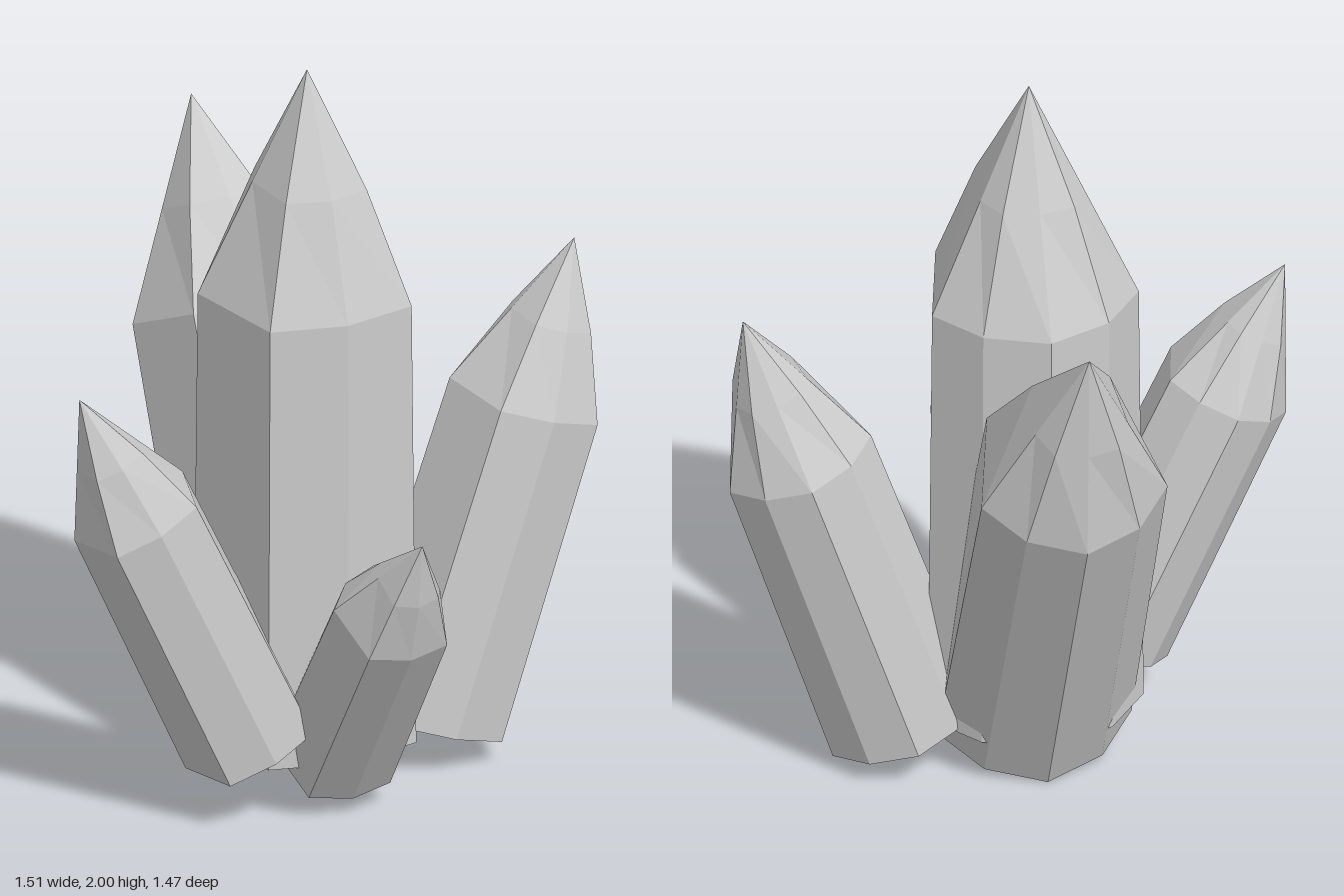
import * as THREE from 'three';

// Half of the crystal's cross-section, back to front: [x, z, fullness halfway up the tip]
const half = [
  [0, -0.275, 0.5],
  [0.166, -0.21, 0.57],
  [0.273, -0.08, 0.5],
  [0.2, 0.215, 0.57],
  [0, 0.26, 0.6],
];
const section = [...half, ...half.slice(1, 4).reverse().map(([x, z, f]) => [-x, z, f])];

const BODY = 1.24, TIP = 0.62, FLARE = 1.045;

// Pointed eight-sided crystal standing on its origin
function crystalGeometry() {
  const rings = [
    section.map(([x, z]) => [x * FLARE, 0, z * FLARE]),
    section.map(([x, z]) => [x, BODY, z]),
    section.map(([x, z, f]) => [x * f, BODY + TIP / 2, z * f]),
  ];
  const base = [0, 0, 0], apex = [0, BODY + TIP, 0];
  const out = [];
  const tri = (a, b, c) => out.push(...a, ...b, ...c);
  const n = section.length;
  for (let i = 0; i < n; i++) {
    const j = (i + 1) % n;
    tri(base, rings[0][i], rings[0][j]);
    for (let r = 0; r < 2; r++) {
      const lo = rings[r], hi = rings[r + 1];
      tri(lo[i], hi[i], hi[j]);
      tri(lo[i], hi[j], lo[j]);
    }
    tri(rings[2][i], apex, rings[2][j]);
  }
  const g = new THREE.BufferGeometry();
  g.setAttribute('position', new THREE.Float32BufferAttribute(out, 3));
  g.computeVertexNormals();
  return g;
}

export function createModel() {
  const group = new THREE.Group();
  group.name = 'crystalCluster';
  const geometry = crystalGeometry();
  const material = new THREE.MeshStandardMaterial({ color: 0xcccccc, flatShading: true });

  // name, foot position, tilt about x and z in degrees, width and height scale
  const crystals = [
    ['mainCrystal', [-0.045, 0.14, 0], 0, 0, 1, 1],
    ['backCrystal', [-0.045, 0.115, 0], -26, 0, 0.9, 0.9],
    ['frontCrystal', [-0.045, 0.133, 0.168], 34.5, 0, 0.55, 0.535],
    ['leftCrystal', [0.291, 0.111, 0], 0, -18.3, 0.72, 0.718],
    ['rightCrystal', [-0.272, 0.199, 0.148], 0, 24.5, 0.615, 0.625],
  ];
  for (const [name, foot, tiltX, tiltZ, width, height] of crystals) {
    const mesh = new THREE.Mesh(geometry, material);
    mesh.name = name;
    mesh.position.set(...foot);
    mesh.rotation.set(THREE.MathUtils.degToRad(tiltX), 0, THREE.MathUtils.degToRad(tiltZ));
    mesh.scale.set(width, height, width);
    group.add(mesh);
  }
  return group;
}
